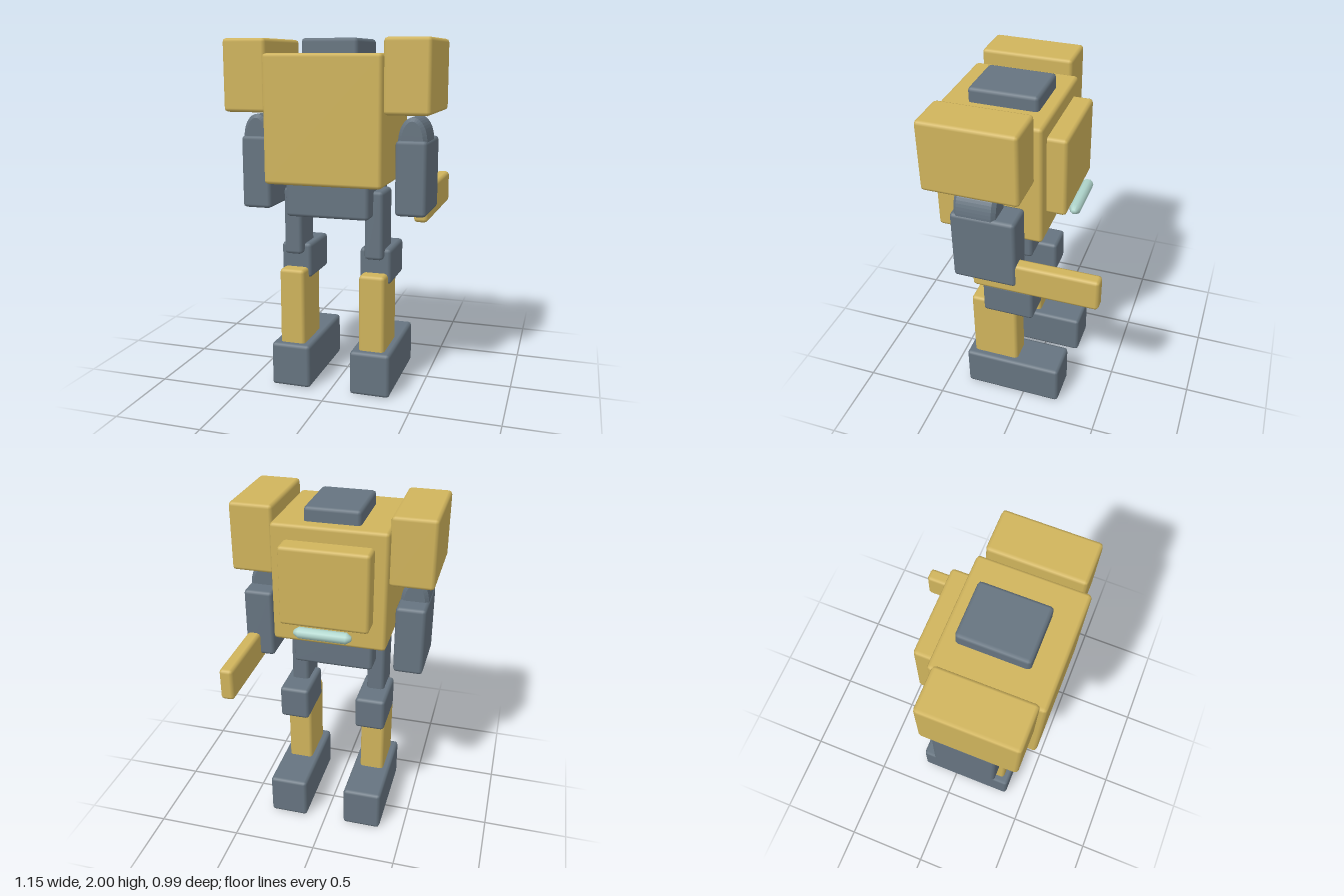
import * as THREE from 'three';
import { RoundedBoxGeometry } from 'three/addons/geometries/RoundedBoxGeometry.js';

const makeMaterial = (name, color) => {
  const m = new THREE.MeshStandardMaterial({ color });
  m.name = name;
  return m;
};

// Bevelled box given by its extents on each axis
function block(parent, name, material, [x0, x1], [y0, y1], [z0, z1], bevel = 0.02) {
  const geometry = new RoundedBoxGeometry(x1 - x0, y1 - y0, z1 - z0, 1, bevel);
  const mesh = new THREE.Mesh(geometry, material);
  mesh.position.set((x0 + x1) / 2, (y0 + y1) / 2, (z0 + z1) / 2);
  mesh.name = name;
  parent.add(mesh);
  return mesh;
}

export function createModel() {
  const model = new THREE.Group();
  model.name = 'robot';
  const gold = makeMaterial('gold armour', 0xd0b45c);
  const grey = makeMaterial('slate grey', 0x667480);
  const teal = makeMaterial('pale teal', 0xb0d6cd);

  // Body
  block(model, 'torso', gold, [-0.33, 0.33], [1.22, 1.92], [-0.12, 0.49]);
  block(model, 'backpack', gold, [-0.255, 0.255], [1.375, 1.835], [-0.23, -0.06]);
  block(model, 'head', grey, [-0.16, 0.16], [1.82, 2.0], [-0.045, 0.345]);
  block(model, 'pelvis', grey, [-0.238, 0.238], [1.03, 1.32], [-0.03, 0.405]);

  // Glowing bar with chamfered ends, lying across the back
  const profile = [[0, -0.163], [0.014, -0.163], [0.033, -0.135], [0.033, 0.135], [0.014, 0.163], [0, 0.163]];
  const bar = new THREE.Mesh(
    new THREE.LatheGeometry(profile.map(([r, y]) => new THREE.Vector2(r, y)), 10), teal);
  bar.rotation.z = Math.PI / 2;
  bar.position.set(0, 1.35, -0.247);
  bar.name = 'visor';
  model.add(bar);

  // Arched shoulder joint, extruded front to back
  const arch = new THREE.Shape();
  arch.moveTo(-0.06, -0.1);
  arch.lineTo(0.06, -0.1);
  arch.lineTo(0.06, 0);
  arch.absellipse(0, 0, 0.06, 0.115, 0, Math.PI, false);
  arch.closePath();
  const jointGeometry = new THREE.ExtrudeGeometry(arch, {
    depth: 0.195, bevelEnabled: true, bevelSize: 0.02, bevelThickness: 0.02, bevelSegments: 1, curveSegments: 10,
  });

  for (const [side, s] of [['left', 1], ['right', -1]]) {
    const span = (a, b) => (s > 0 ? [a, b] : [-b, -a]);

    // Arm
    const arm = new THREE.Group();
    arm.name = `${side}Arm`;
    block(arm, 'shoulder', gold, span(0.325, 0.575), [1.605, 2.0], [-0.08, 0.453]);
    block(arm, 'forearm', grey, span(0.362, 0.535), [1.05, 1.462], [-0.037, 0.326]);
    const joint = new THREE.Mesh(jointGeometry, grey);
    joint.name = 'shoulderJoint';
    joint.position.set(s * 0.45, 1.45, 0.092);
    arm.add(joint);
    model.add(arm);

    // Leg
    const leg = new THREE.Group();
    leg.name = `${side}Leg`;
    block(leg, 'thigh', grey, span(0.185, 0.292), [0.785, 1.175], [0.083, 0.3]);
    block(leg, 'knee', grey, span(0.147, 0.328), [0.635, 0.84], [-0.06, 0.25]);
    block(leg, 'shin', gold, span(0.163, 0.313), [0.2, 0.7], [0.048, 0.333]);
    block(leg, 'foot', grey, span(0.12, 0.355), [0, 0.258], [-0.23, 0.372]);
    model.add(leg);
  }

  // Blaster carried on the left arm
  block(model, 'blaster', gold, [0.446, 0.525], [1.0, 1.19], [-0.495, 0.22]);

  return model;
}
